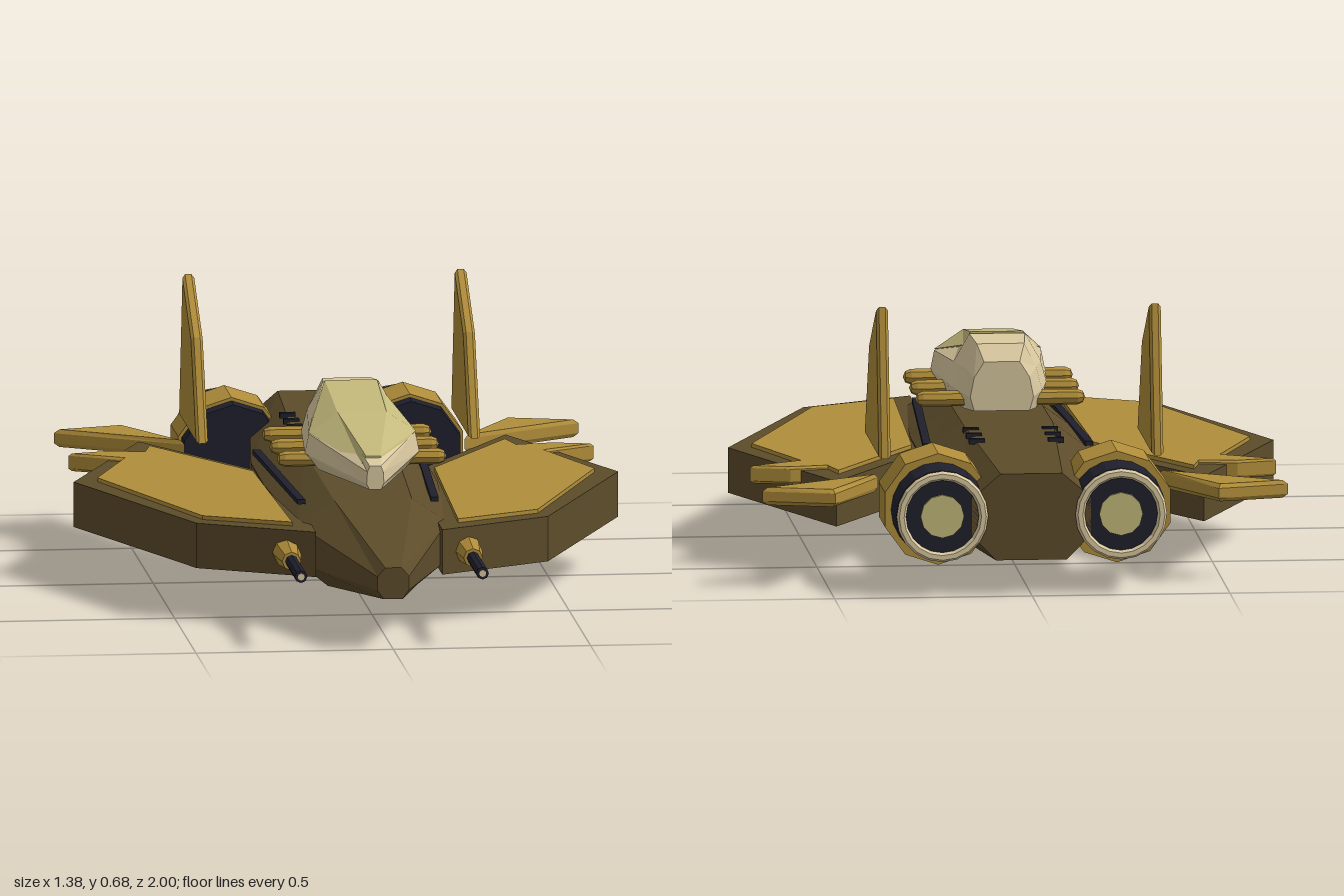
import * as THREE from 'three';

const mat = (name, color) => {
  const m = new THREE.MeshStandardMaterial({ color, flatShading: true });
  m.name = name;
  return m;
};

export function createModel() {
  const olive = mat('olive hull', 0x5c4c2a);
  const gold = mat('gold panel', 0xb08d3a);
  const dark = mat('dark metal', 0x20202d);
  const beige = mat('beige trim', 0xdac9a0);
  const glass = mat('pale glass', 0xc3b97b);
  const model = new THREE.Group();
  model.name = 'spacecraft';

  const add = (name, geo, material, x = 0, y = 0, z = 0) => {
    const m = new THREE.Mesh(geo, material);
    m.name = name;
    m.position.set(x, y, z);
    model.add(m);
    return m;
  };

  // Skin over symmetric sections, back to front: [z, [x, y] of the +x half from bottom to top]
  const loft = (sections) => {
    const rings = sections.map(([z, half]) => [
      ...half.map(([x, y]) => [x, y, z]),
      ...half.slice().reverse().map(([x, y]) => [-x, y, z])]);
    const pos = [];
    const tri = (a, b, c) => pos.push(...a, ...b, ...c);
    const n = rings[0].length;
    for (let i = 0; i < rings.length - 1; i++) {
      for (let j = 0; j < n; j++) {
        const k = (j + 1) % n, r = rings[i], q = rings[i + 1];
        tri(r[j], r[k], q[k]);
        tri(r[j], q[k], q[j]);
      }
    }
    const back = rings[0], front = rings[rings.length - 1];
    for (let j = 1; j < n - 1; j++) {
      tri(back[0], back[j + 1], back[j]);
      tri(front[0], front[j], front[j + 1]);
    }
    const g = new THREE.BufferGeometry();
    g.setAttribute('position', new THREE.Float32BufferAttribute(pos, 3));
    g.computeVertexNormals();
    return g;
  };

  const extrude = (pts, depth, bevel) => {
    const shape = new THREE.Shape(pts.map(([a, b]) => new THREE.Vector2(a, b)));
    return new THREE.ExtrudeGeometry(shape, {
      depth: depth - 2 * bevel, bevelEnabled: bevel > 0, bevelSize: bevel,
      bevelThickness: bevel, bevelOffset: -bevel, bevelSegments: 1,
    }).translate(0, 0, bevel);
  };
  // Flat plate from an (x, z) outline; s mirrors it
  const plate = (pts, s, y0, y1, bevel = 0) =>
    extrude(pts.map(([x, z]) => [x * s, z]), y1 - y0, bevel).rotateX(Math.PI / 2).translate(0, y1, 0);

  // Cylinder lying along z
  const tube = (rFront, rBack, z0, z1, sides) =>
    new THREE.CylinderGeometry(rFront, rBack, z1 - z0, sides).rotateX(Math.PI / 2).translate(0, 0, (z0 + z1) / 2);

  // Fuselage: octagonal sections
  const octagon = (z, w, y0, y1) => {
    const h = y1 - y0;
    return [z, [[w * 0.6, y0], [w, y0 + h * 0.28], [w, y0 + h * 0.72], [w * 0.52, y1]]];
  };
  add('fuselage', loft([
    octagon(-0.98, 0.15, 0.09, 0.31), octagon(-0.3, 0.22, 0.045, 0.33),
    octagon(0, 0.22, 0.05, 0.325), octagon(0.52, 0.19, 0.08, 0.3), octagon(1, 0.04, 0.13, 0.21),
  ]), olive);

  // Cockpit shell and glazing
  add('cockpitShell', loft([
    [-0.14, [[0.07, 0.335], [0.08, 0.37], [0.07, 0.42], [0.045, 0.46]]],
    [-0.1, [[0.09, 0.335], [0.105, 0.38], [0.09, 0.44], [0.06, 0.5]]],
    [0, [[0.11, 0.333], [0.125, 0.385], [0.11, 0.44], [0.07, 0.51]]],
    [0.27, [[0.11, 0.333], [0.145, 0.375], [0.135, 0.425], [0.06, 0.47]]],
    [0.58, [[0.015, 0.335], [0.022, 0.35], [0.02, 0.38], [0.014, 0.395]]],
  ]), beige);
  add('cockpitGlass', loft([
    [0.01, [[0.085, 0.48], [0.066, 0.514]]],
    [0.27, [[0.136, 0.428], [0.062, 0.478]]],
    [0.53, [[0.03, 0.39], [0.018, 0.412]]],
  ]), glass);

  // Cross bars gripping the cockpit
  for (const z of [-0.09, 0.085, 0.26]) {
    add('crossBar', new THREE.CapsuleGeometry(0.02, 0.39, 2, 8).rotateZ(Math.PI / 2), gold, 0, 0.36, z);
  }

  // Belly hatch
  add('bellyHatch', extrude([[-0.105, 0.02], [0.105, 0.02], [0.105, 0.05], [-0.105, 0.05]], 0.32, 0.008),
    dark, 0, 0, -0.3);

  for (const s of [1, -1]) {
    // Wing with raised top panel
    add('wing', plate([[0.16, 0.67], [0.445, 0.51], [0.69, -0.105], [0.465, -0.66], [0.225, -0.24], [0.16, -0.15]],
      s, 0.13, 0.245), olive);
    add('wingPanel', plate([[0.21, 0.575], [0.425, 0.46], [0.63, -0.105], [0.53, -0.38], [0.47, -0.46],
      [0.45, -0.545], [0.23, -0.16]], s, 0.24, 0.255), gold);

    // Wing spur, tailplane and upright fin
    add('wingSpur', plate([[0.665, -0.455], [0.525, -0.37], [0.46, -0.465], [0.565, -0.485]], s, 0.21, 0.255, 0.006), gold);
    add('tailplane', plate([[0.665, -0.8], [0.485, -0.855], [0.355, -0.605]], s, 0.21, 0.255, 0.01), gold);
    const fin = extrude([[-0.28, 0.305], [-0.405, 0.555], [-0.61, 0.68], [-0.69, 0.305]], 0.03, 0.007);
    add('fin', fin.rotateY(-Math.PI / 2), gold, s * 0.345 + 0.015);

    // Engine
    const ex = s * 0.226, ey = 0.205;
    add('engineIntake', tube(0.13, 0.134, -0.7, -0.655, 10), dark, ex, ey);
    add('engineCowl', tube(0.142, 0.142, -0.87, -0.695, 10), gold, ex, ey);
    add('engineNozzle', tube(0.12, 0.116, -0.98, -0.865, 20), dark, ex, ey);
    add('nozzleRing', new THREE.TorusGeometry(0.104, 0.012, 6, 20), beige, ex, ey, -0.988);
    add('nozzleCore', tube(0.055, 0.055, -0.988, -0.97, 12), glass, ex, ey);

    // Gun
    const gx = s * 0.23, gy = 0.185;
    add('gunMount', tube(0.034, 0.036, 0.5, 0.65, 8), gold, gx, gy);
    add('gunSleeve', tube(0.024, 0.034, 0.65, 0.745, 8), gold, gx, gy);
    add('gunBarrel', tube(0.016, 0.016, 0.74, 0.965, 8), dark, gx, gy);
    add('gunMuzzle', tube(0.009, 0.009, 0.96, 0.968, 8), beige, gx, gy);

    // Side slot, deck vents and belly skid
    const slot = add('sideSlot', new THREE.BoxGeometry(0.02, 0.012, 0.72), dark, s * 0.187, 0.276, 0.05);
    slot.rotation.y = -s * 0.05;
    for (const z of [-0.55, -0.465, -0.38]) {
      add('deckVent', new THREE.BoxGeometry(0.04, 0.014, 0.016), dark, s * 0.1, 0.325, z);
    }
    add('bellySkid', tube(0.009, 0.009, -0.235, -0.04, 6), beige, s * 0.114, 0.01);
  }
  return model;
}
